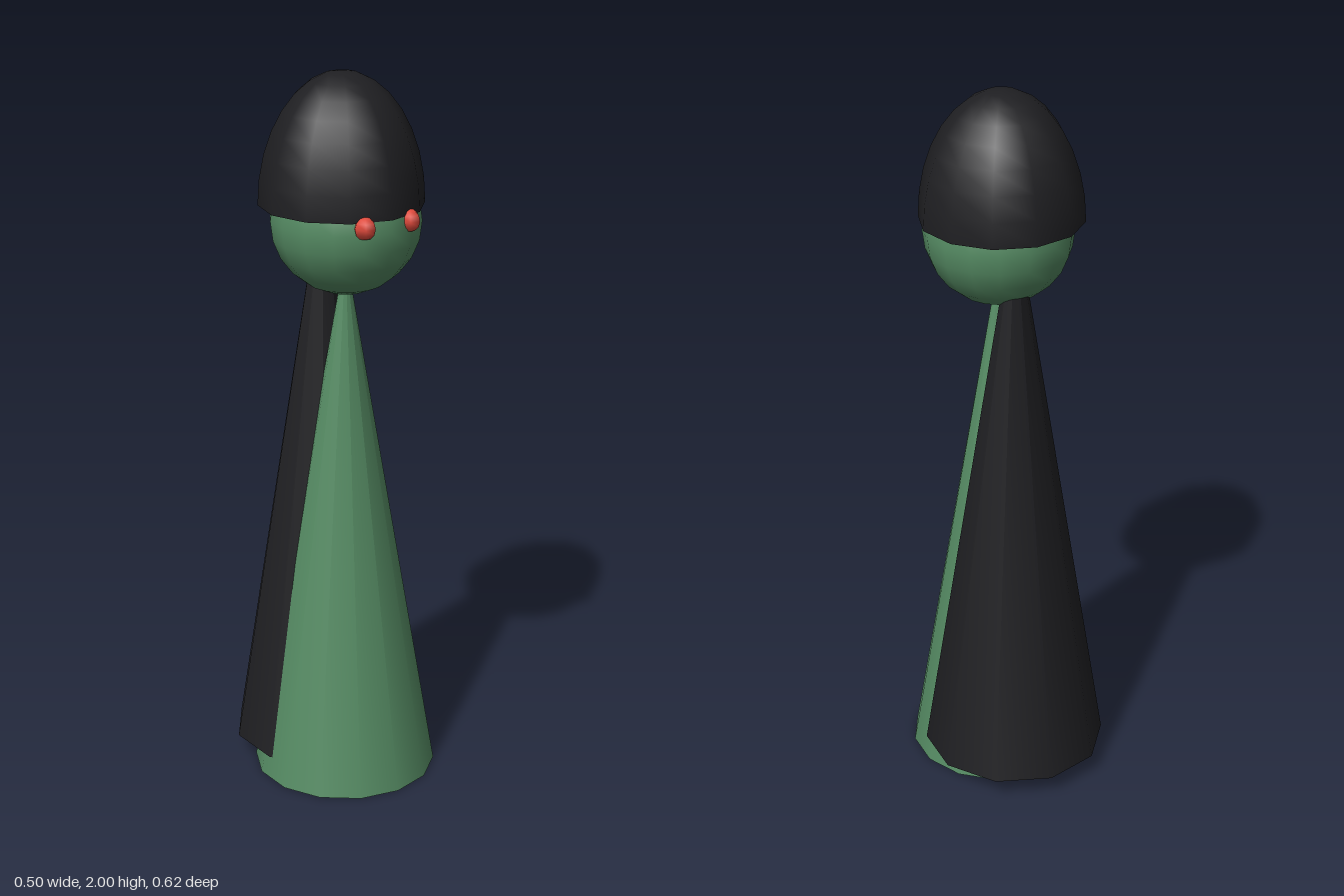
import * as THREE from 'three';

const green = new THREE.MeshStandardMaterial({ color: 0x568c64, side: THREE.DoubleSide });
const black = new THREE.MeshStandardMaterial({ color: 0x1f1f22, side: THREE.DoubleSide });
const red = new THREE.MeshStandardMaterial({ color: 0xe04a3c });

export function createModel() {
  const model = new THREE.Group();
  model.name = 'cloakedFigure';

  const add = (name, geometry, material, x, y, z) => {
    const mesh = new THREE.Mesh(geometry, material);
    mesh.name = name;
    mesh.position.set(x, y, z);
    model.add(mesh);
    return mesh;
  };

  // Hollow cone standing on its open base
  const cone = (name, radius, height, sides, material, y, z) =>
    add(name, new THREE.ConeGeometry(radius, height, sides, 1, true), material, 0, y + height / 2, z);

  cone('body', 0.258, 1.52, 14, green, 0, 0.052);
  cone('cape', 0.259, 1.64, 10, black, 0.06, -0.052);

  // Head
  add('head', new THREE.SphereGeometry(0.205, 16, 12), green, 0, 1.61, 0.053);

  // Tall open-bottomed half-ellipsoid cap
  const hat = add('hat', new THREE.SphereGeometry(0.224, 12, 8, 0, Math.PI * 2, 0, Math.PI / 2),
    black, 0, 1.645, 0.034);
  hat.scale.y = 0.355 / 0.224;

  // Eyes
  for (const side of [-1, 1]) {
    add(side > 0 ? 'leftEye' : 'rightEye', new THREE.SphereGeometry(0.031, 6, 6), red,
      side * 0.072, 1.63, 0.235);
  }

  return model;
}
